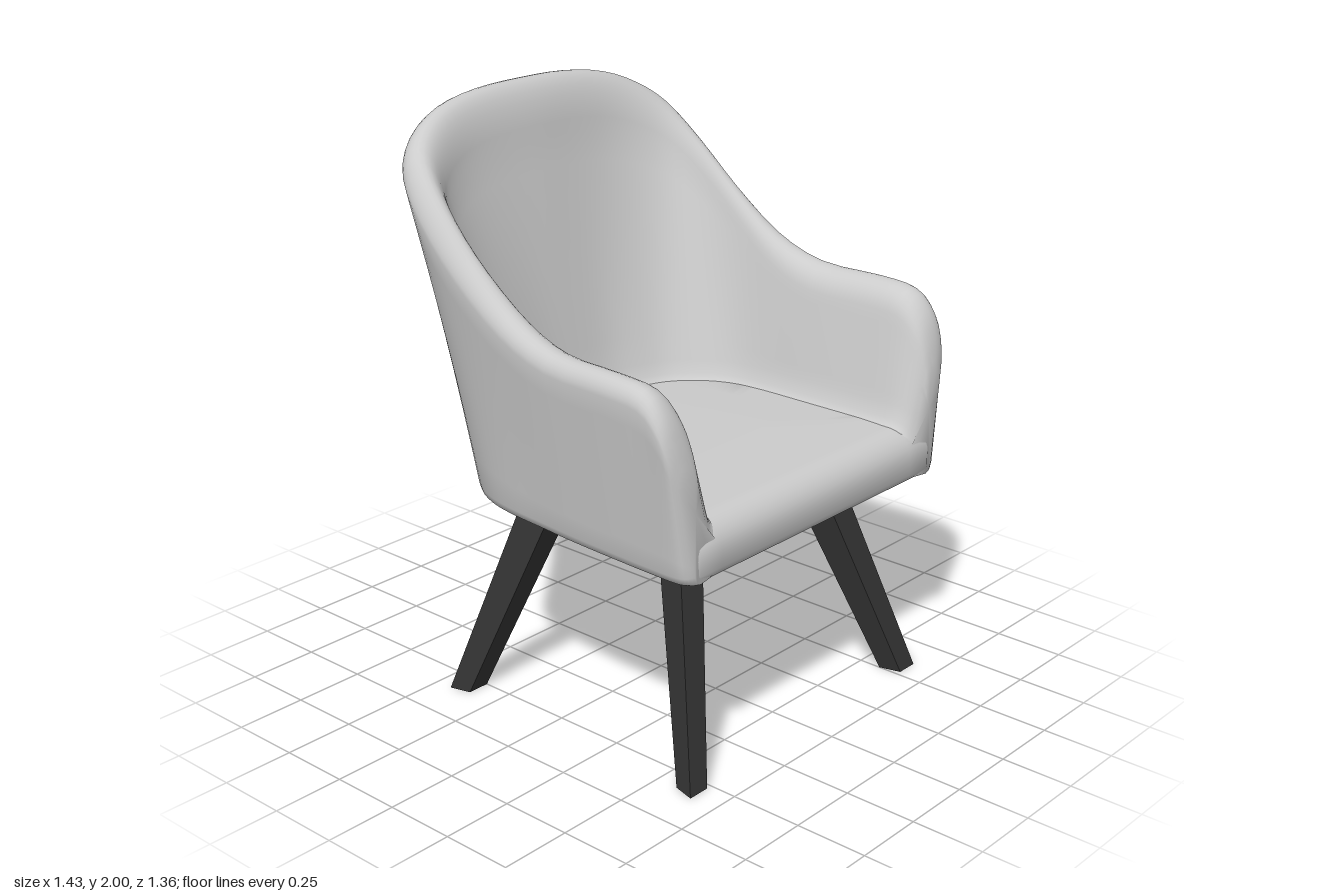
import * as THREE from 'three';
import { toCreasedNormals } from 'three/addons/utils/BufferGeometryUtils.js';

const grey = new THREE.MeshStandardMaterial({ color: 0xcccccc });
const dark = new THREE.MeshStandardMaterial({ color: 0x333333 });

// Skin a list of closed rings and close both ends with fans
function loft(rings, crease) {
  const n = rings[0].length, pos = [], idx = [];
  rings.forEach(r => r.forEach(p => pos.push(p.x, p.y, p.z)));
  for (let i = 0; i < rings.length - 1; i++) {
    for (let j = 0; j < n; j++) {
      const k = (j + 1) % n, a = i * n + j, b = i * n + k;
      idx.push(a, b, a + n, b, b + n, a + n);
    }
  }
  [0, rings.length - 1].forEach((i, end) => {
    const c = new THREE.Vector3();
    rings[i].forEach(p => c.addScaledVector(p, 1 / n));
    const ci = pos.length / 3;
    pos.push(c.x, c.y, c.z);
    for (let j = 0; j < n; j++) {
      const a = i * n + j, b = i * n + (j + 1) % n;
      if (end) idx.push(ci, a, b); else idx.push(ci, b, a);
    }
  });
  const g = new THREE.BufferGeometry();
  g.setAttribute('position', new THREE.Float32BufferAttribute(pos, 3));
  g.setIndex(idx);
  return toCreasedNormals(g, crease);
}

// Shell stations from back centre to arm front:
// outer base x,z | outer rim x,z | rim height | inner base x,z | rim thickness
const half = [
  [0, -.483, 0, -.68, 2, 0, -.33, .145],
  [.17, -.478, .22, -.675, 1.994, .12, -.325, .145],
  [.33, -.452, .4, -.652, 1.968, .22, -.3, .145],
  [.45, -.4, .535, -.61, 1.915, .32, -.26, .15],
  [.53, -.33, .622, -.54, 1.84, .39, -.2, .15],
  [.58, -.23, .666, -.42, 1.72, .44, -.13, .15],
  [.605, -.12, .684, -.25, 1.57, .47, -.05, .145],
  [.62, .03, .692, -.05, 1.435, .48, .06, .14],
  [.635, .2, .702, .15, 1.367, .48, .2, .14],
  [.645, .4, .714, .4, 1.36, .48, .4, .14],
  [.65, .55, .714, .54, 1.345, .48, .53, .14],
  [.65, .625, .71, .61, 1.28, .485, .6, .135],
  [.64, .66, .695, .645, 1.19, .5, .645, .115],
  [.61, .678, .655, .668, 1.09, .525, .668, .07]
];
const mirrored = half.slice(1).reverse().map(s => s.map((v, i) => (i === 0 || i === 2 || i === 5 ? -v : v)));
const stations = [...mirrored, ...half];
const spline = f => new THREE.CatmullRomCurve3(stations.map(f), false, 'catmullrom', 0.5);
const outerBase = spline(s => new THREE.Vector3(s[0], 0, s[1]));
const outerRim = spline(s => new THREE.Vector3(s[2], s[4], s[3]));
const innerBase = spline(s => new THREE.Vector3(s[5], s[7], s[6]));
const STEPS = (stations.length - 1) * 3;

// The seat front is a quarter-round roll starting at ROLL_Z
const ROLL = 0.1, ROLL_Z = 0.58;
const rollDrop = z => ROLL - Math.sqrt(ROLL ** 2 - Math.max(0, z - ROLL_Z) ** 2);

// One closed cross-section of the shell: up the outside, over the rim, down the inside
function shellSection(t) {
  const ob = outerBase.getPoint(t), rim = outerRim.getPoint(t), ib = innerBase.getPoint(t);
  const height = rim.y, thick = ib.y, crest = thick * 0.36;
  const outerDrop = 0.06, innerDrop = 0.26 * (height - 0.9);
  const inward = new THREE.Vector3(ib.x - rim.x, 0, ib.z - rim.z).normalize();
  const at = (p, y, offset) => new THREE.Vector3(p.x, y, p.z).addScaledVector(inward, offset);
  const low = at(ob, 0.765, 0), high = at(rim, height - outerDrop, 0);
  const pts = [at(ob, 0.735, 0.025), at(ob, 0.743, 0.008)];
  // outside wall, slightly hollow where the back is tall
  const hollow = 0.012 * Math.max(0, height - 1.36) / 0.64;
  for (let i = 0; i < 8; i++) {
    pts.push(low.clone().lerp(high, i / 8).addScaledVector(inward, hollow * Math.sin(Math.PI * i / 8)));
  }
  // rim: tight quarter outside, softer padded curve inside
  for (let i = 0; i <= 6; i++) {
    const a = Math.PI / 2 * i / 6;
    pts.push(at(rim, height - outerDrop * (1 - Math.sin(a)), crest * (1 - Math.cos(a))));
  }
  for (let i = 1; i <= 7; i++) {
    const a = Math.PI * 0.4 * i / 7;
    pts.push(at(rim, height - innerDrop * (1 - Math.cos(a)), crest + (thick - crest) * Math.sin(a)));
  }
  // inside wall and fillet into the seat
  const d = rollDrop(ib.z);
  const top = pts[pts.length - 1], foot = at(ib, 0.98 - d, -0.03);
  for (let i = 1; i <= 8; i++) pts.push(top.clone().lerp(foot, i / 8));
  pts.push(at(ib, 0.935 - d, -0.015), at(ib, 0.912 - d, 0), at(ib, 0.9 - d, 0.025), at(ib, 0.74, 0.025));
  return pts;
}

function makeShell() {
  const rings = [];
  for (let i = 0; i <= STEPS; i++) rings.push(shellSection(i / STEPS));
  return loft(rings, 1.1);
}

// Seat cushion: the base outline stacked at several heights, rolled along the front
function makeSeat() {
  const outline = [];
  for (let i = STEPS; i >= 0; i--) outline.push(outerBase.getPoint(i / STEPS));
  for (let i = 1; i < 12; i++) outline.push(new THREE.Vector3(-0.61 + 1.22 * i / 12, 0, 0.678));
  // x scale, front z, height
  const levels = [[.3, .3, .73], [.94, .655, .73], [.96, .67, .738], [.96, .68, .76]];
  for (let i = 0; i <= 8; i++) {
    const a = Math.PI / 2 * i / 8;
    levels.push([.96, ROLL_Z + ROLL * Math.cos(a), .81 + ROLL * Math.sin(a)]);
  }
  levels.push([.6, .42, .915], [.25, .23, .92]);
  const rings = levels.map(([sx, front, y]) => {
    const sz = (front - 0.1) / 0.578;
    return outline.map(p => new THREE.Vector3(p.x * sx, y, 0.1 + (p.z - 0.1) * sz));
  });
  return loft(rings, 1.1);
}

// Splayed, tapered leg; corners listed as x,z for foot and top, mirrored by sx
function makeLeg(sx, foot, top) {
  const place = (corners, y) => corners.map(([x, z]) => new THREE.Vector3(sx * x, y, z));
  const rings = [place(foot, 0), place(top, 0.75)];
  // keep the ring direction facing outwards
  const [a, b, c] = rings[0];
  const up = b.clone().sub(a).cross(c.clone().sub(b)).y;
  if (up < 0) rings.forEach(r => r.reverse());
  return loft(rings, 0.3);
}

// Slightly skewed rectangle between zOut and zIn (towards the centre)
const quad = (x0, x1, zOut, zIn, skew) => [[x0, zOut], [x1, zOut], [x1 - skew, zIn], [x0 - skew, zIn]];

export function createModel() {
  const chair = new THREE.Group();
  chair.name = 'armchair';
  const add = (name, geometry, material) => {
    const mesh = new THREE.Mesh(geometry, material);
    mesh.name = name;
    chair.add(mesh);
  };
  add('backAndArms', makeShell(), grey);
  add('seat', makeSeat(), grey);
  for (const [side, sx] of [['left', 1], ['right', -1]]) {
    add(side + 'FrontLeg', makeLeg(sx, quad(.52, .6, .655, .58, .02), quad(.295, .405, .435, .315, .03)), dark);
    add(side + 'RearLeg', makeLeg(sx, quad(.52, .6, -.435, -.36, .02), quad(.295, .405, -.23, -.11, .03)), dark);
  }
  return chair;
}
